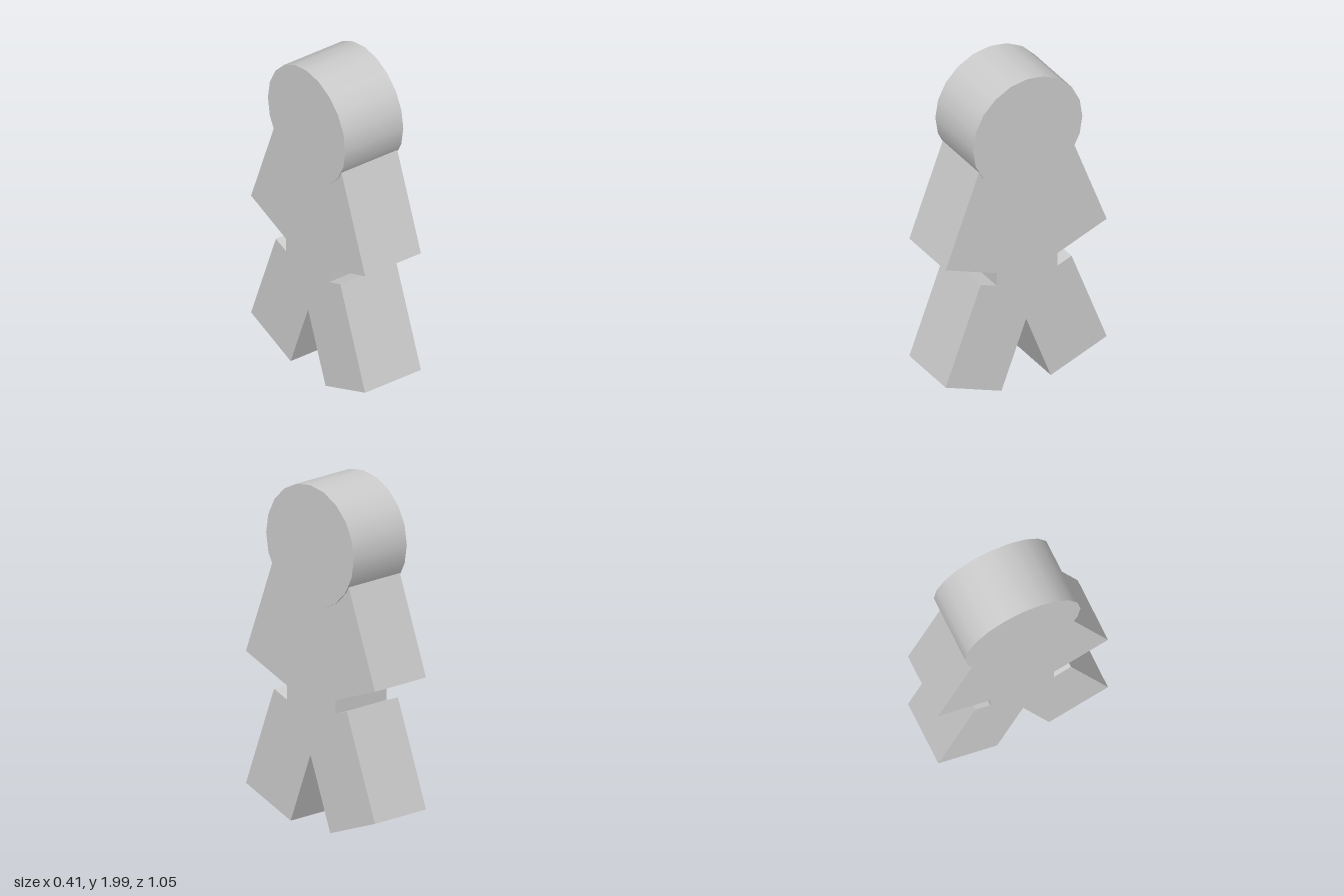
import * as THREE from 'three';

export function createModel() {
  const model = new THREE.Group();
  const material = new THREE.MeshStandardMaterial({ color: 0xcccccc });
  const tilt = 0.363;

  const add = (name, geometry, x, y, z, rotX = 0) => {
    const mesh = new THREE.Mesh(geometry, material);
    mesh.name = name;
    mesh.position.set(x, y, z);
    mesh.rotation.x = rotX;
    model.add(mesh);
  };

  // Disc-shaped head lying on its side, axis along x
  const disc = new THREE.CylinderGeometry(0.355, 0.355, 0.405, 20).rotateZ(Math.PI / 2);
  add('head', disc, -0.002, 1.645, -0.005);

  // Upright torso block, ends hidden inside the head and legs
  add('torso', new THREE.BoxGeometry(0.39, 0.8, 0.393), -0.003, 1.0, -0.006);

  // Splayed limbs, mirrored front to back
  const limb = new THREE.BoxGeometry(0.39, 0.642, 0.388);
  for (const side of [1, -1]) {
    const end = side > 0 ? 'front' : 'back';
    add(end + 'Arm', limb, -0.003, 1.143, side * 0.2275, -side * tilt);
    add(end + 'Leg', limb, -0.003, 0.374, side * 0.2275, -side * tilt);
  }
  return model;
}
